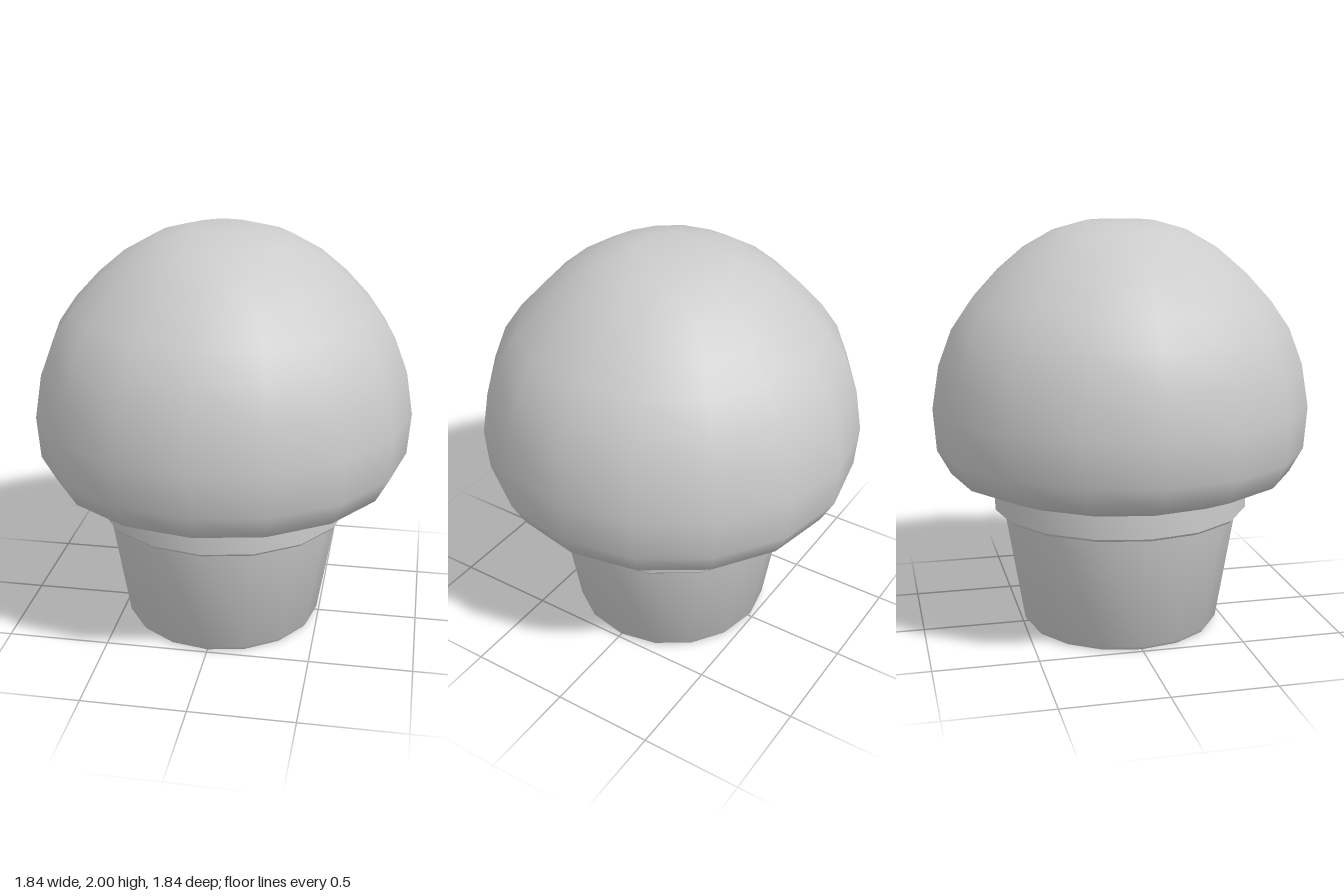
import * as THREE from 'three';
import { toCreasedNormals } from 'three/addons/utils/BufferGeometryUtils.js';

const SIDES = 16;

// Revolves [radius, height] pairs, listed from bottom to top, around y.
function lathe(points) {
  return new THREE.LatheGeometry(points.map(([r, y]) => new THREE.Vector2(r, y)), SIDES);
}

export function createModel() {
  const model = new THREE.Group();
  const material = new THREE.MeshStandardMaterial({ color: 0xcccccc });

  const add = (name, geometry) => {
    const mesh = new THREE.Mesh(geometry, material);
    mesh.name = name;
    model.add(mesh);
  };

  // Tapered pot with a small bevel at the base
  add('pot', toCreasedNormals(lathe([
    [0, 0], [0.475, 0], [0.49, 0.02], [0.585, 0.6],
  ]), 0.6));

  // Upright rim with bevelled lower edge, closed on top under the foliage
  add('potRim', toCreasedNormals(lathe([
    [0.56, 0.59], [0.62, 0.59], [0.63, 0.602], [0.63, 0.775], [0, 0.775],
  ]), 0.6));

  // Rounded foliage dome whose underside curls up towards the rim
  add('foliage', lathe([
    [0, 0.78], [0.6, 0.77], [0.68, 0.73], [0.84, 0.795], [0.905, 0.915],
    [0.92, 1.12], [0.885, 1.33], [0.82, 1.5], [0.73, 1.63], [0.61, 1.76],
    [0.48, 1.87], [0.33, 1.955], [0.17, 2], [0, 2],
  ]));

  return model;
}
